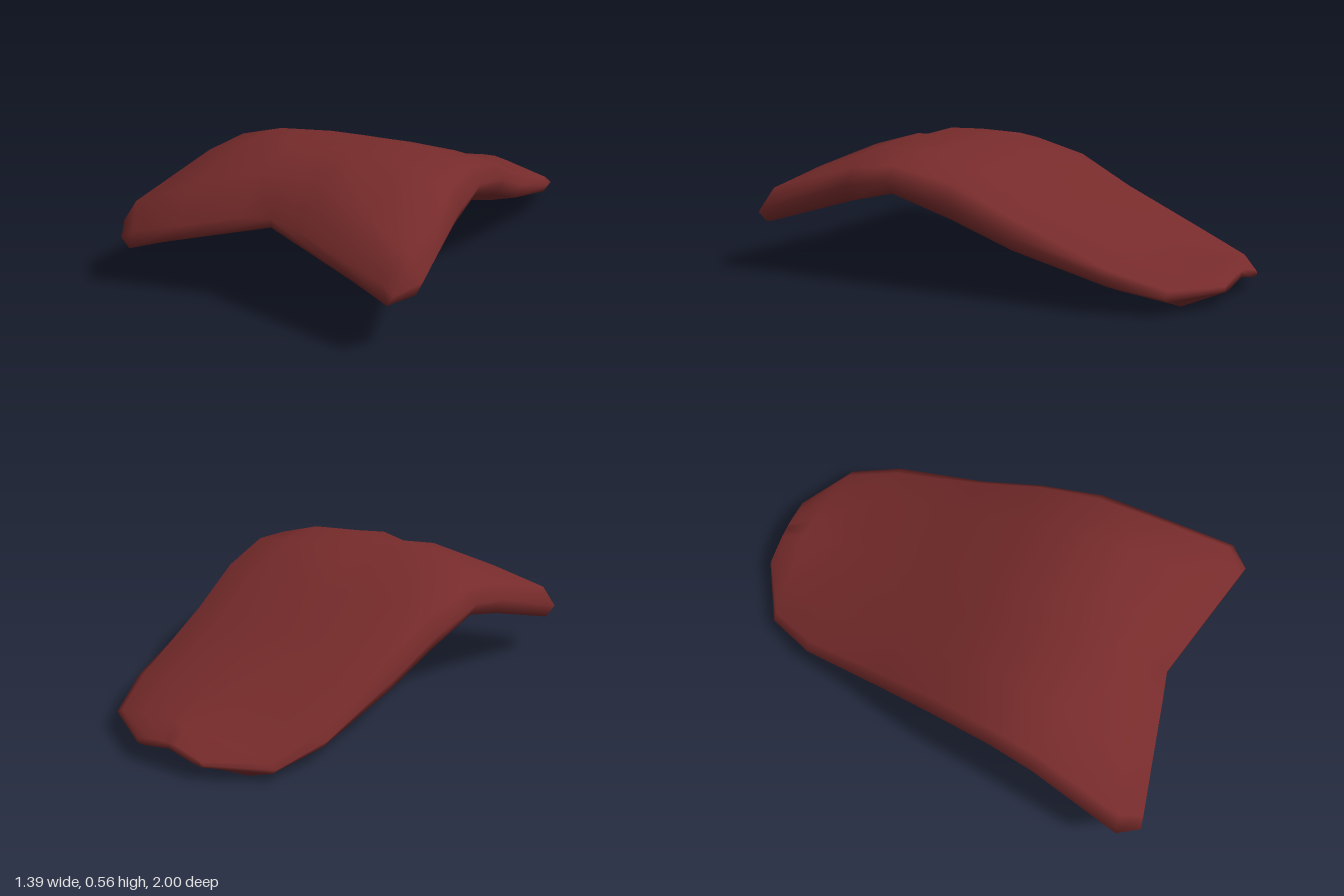
import * as THREE from 'three';

// Cross-sections from front to back:
// [z at centre, z at edge, half width, top centre, top inner, top outer, shoulder, edge, under edge, under middle, under centre]
const STATIONS = [
  [0.85, 1.0, 0.63, 0.35, 0.345, 0.285, 0.245, 0.215, 0.172, 0.215, 0.315],
  [0.69, 0.91, 0.695, 0.48, 0.485, 0.41, 0.335, 0.25, 0.19, 0.22, 0.3],
  [0.5, 0.5, 0.627, 0.533, 0.552, 0.522, 0.455, 0.385, 0.315, 0.325, 0.315],
  [0.24, 0.3, 0.605, 0.525, 0.533, 0.522, 0.478, 0.42, 0.365, 0.355, 0.315],
  [0.0, 0.03, 0.57, 0.45, 0.453, 0.447, 0.425, 0.355, 0.285, 0.26, 0.21],
  [-0.27, -0.24, 0.53, 0.33, 0.333, 0.328, 0.305, 0.245, 0.185, 0.15, 0.095],
  [-0.67, -0.64, 0.487, 0.17, 0.175, 0.165, 0.15, 0.125, 0.09, 0.045, 0.063],
  [-0.9, -0.86, 0.405, 0.135, 0.135, 0.11, 0.085, 0.065, 0.045, 0.008, 0.063],
  [-1.0, -1.0, 0.17, 0.11, 0.11, 0.095, 0.08, 0.068, 0.058, 0.06, 0.085],
];
// Sideways position of each section point, as a share of the half width
const ACROSS = [0, 0.2, 0.6, 0.92, 1, 0.95, 0.7, 0];
const RING = 14;
// The slab leans slightly, higher on its left
const TILT = 0.027;

function slabGeometry() {
  const positions = [];
  const index = [];
  for (const [zCentre, zEdge, width, ...heights] of STATIONS) {
    for (let j = 0; j < RING; j++) {
      const k = j < 8 ? j : RING - j;
      const x = (j < 8 ? 1 : -1) * ACROSS[k] * width;
      positions.push(x, heights[k] + TILT * x, zCentre + (zEdge - zCentre) * ACROSS[k]);
    }
  }
  // Skin between neighbouring sections
  for (let i = 0; i < STATIONS.length - 1; i++) {
    for (let j = 0; j < RING; j++) {
      const a = i * RING + j;
      const b = i * RING + (j + 1) % RING;
      index.push(a, b, a + RING, b, b + RING, a + RING);
    }
  }
  // End caps, joining top points to under points so the front notch stays open
  const capFaces = [[0, 7, 6], [0, 6, 1], [1, 6, 2], [2, 6, 5], [2, 5, 3], [3, 5, 4]];
  const back = (STATIONS.length - 1) * RING;
  for (const face of capFaces) {
    const [a, b, c] = face;
    const [ma, mb, mc] = face.map((j) => (RING - j) % RING);
    index.push(a, b, c, ma, mc, mb);
    index.push(back + a, back + c, back + b, back + ma, back + mb, back + mc);
  }
  const geometry = new THREE.BufferGeometry();
  geometry.setAttribute('position', new THREE.Float32BufferAttribute(positions, 3));
  geometry.setIndex(index);
  geometry.computeVertexNormals();
  return geometry;
}

export function createModel() {
  const group = new THREE.Group();
  group.name = 'drapedPad';
  const darkRed = new THREE.MeshStandardMaterial({ color: 0x772b2b });
  darkRed.name = 'darkRed';
  const slab = new THREE.Mesh(slabGeometry(), darkRed);
  slab.name = 'curvedSlab';
  group.add(slab);
  return group;
}
